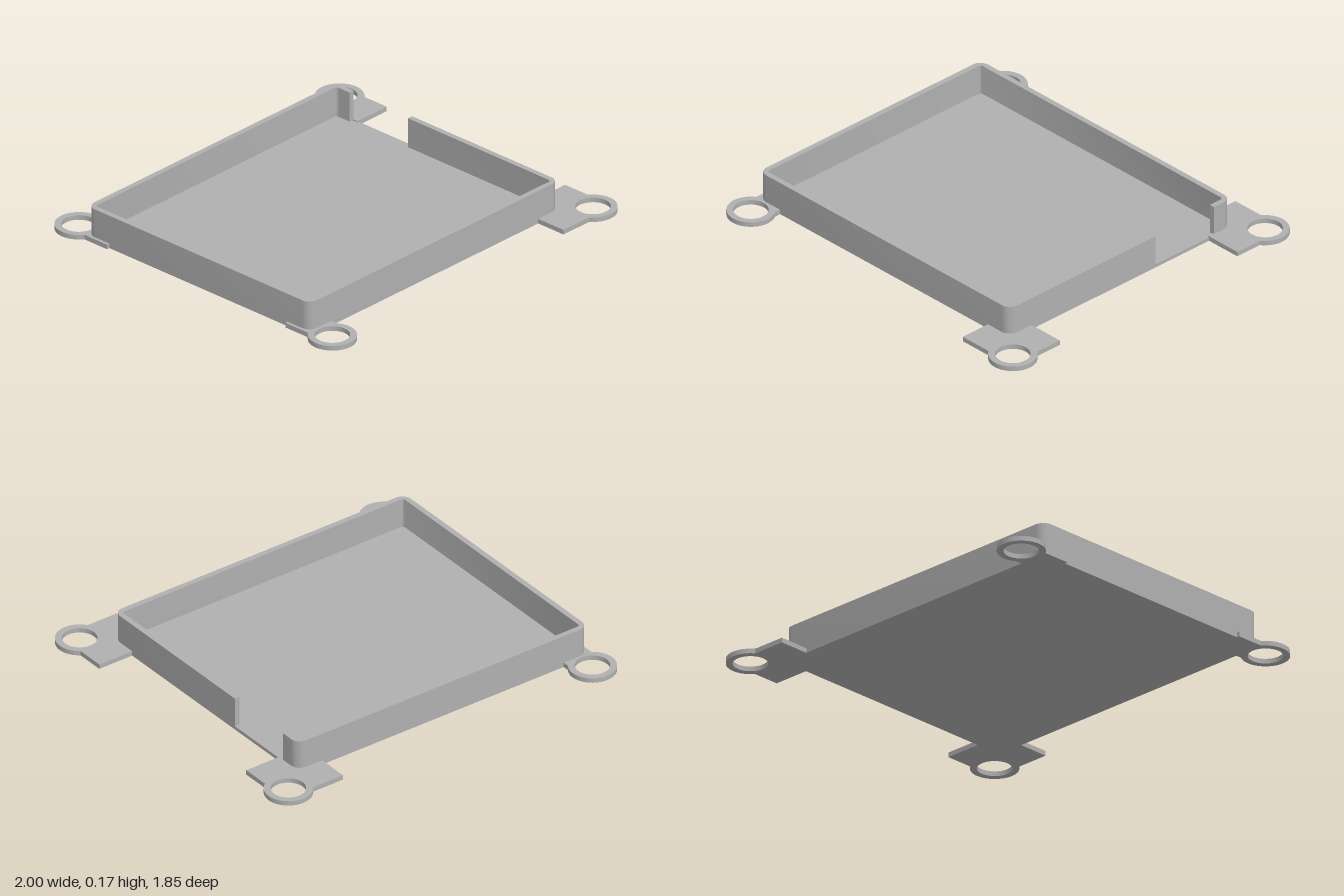
import * as THREE from 'three';
import { toCreasedNormals } from 'three/addons/utils/BufferGeometryUtils.js';

const X0 = -0.933, X1 = 0.758, Z = 0.713;   // tray footprint
const WALL = 0.028, FLOOR = 0.018, HEIGHT = 0.17, TAB = 0.024;
const GAP_BACK = -0.602, GAP_FRONT = -0.227; // opening in the left wall
const RING = { x: 0.884, z: 0.81, outer: 0.115, hole: 0.083 };

export function createModel() {
  const group = new THREE.Group();
  const grey = new THREE.MeshStandardMaterial({ color: 0xb0b0b0 });
  grey.name = 'grey plastic';

  // Extrude a plan outline (x, z) upwards between two heights
  const addPlate = (name, points, y0, y1, hole) => {
    const flip = (list) => list.map((p) => new THREE.Vector2(p.x, -p.y));
    const shape = new THREE.Shape(flip(points));
    if (hole) shape.holes.push(new THREE.Path(flip(hole)));
    let geometry = new THREE.ExtrudeGeometry(shape, { depth: y1 - y0, bevelEnabled: false });
    geometry.rotateX(-Math.PI / 2);
    geometry.translate(0, y0, 0);
    geometry = toCreasedNormals(geometry, 0.6);
    const mesh = new THREE.Mesh(geometry, grey);
    mesh.name = name;
    group.add(mesh);
  };

  const arc = (cx, cz, r, from, to, steps) => Array.from({ length: steps + 1 }, (_, i) => {
    const a = from + (to - from) * i / steps;
    return new THREE.Vector2(cx + r * Math.cos(a), cz + r * Math.sin(a));
  });

  // Four rounded corners, from front left round to back left
  const corners = (inset, r) => [[1, 1], [-1, 1], [-1, -1], [1, -1]].flatMap(([sx, sz], i) => arc(
    sx > 0 ? X1 - inset - r : X0 + inset + r, sz * (Z - inset - r),
    r, i * Math.PI / 2, (i + 1) * Math.PI / 2, 8));

  // Tray floor and the wall with its opening
  const v = (x, z) => new THREE.Vector2(x, z);
  addPlate('floor', corners(0, 0.05), 0, FLOOR);
  addPlate('wall', [
    v(X1, GAP_FRONT), ...corners(0, 0.05), v(X1, GAP_BACK),
    v(X1 - WALL, GAP_BACK), ...corners(WALL, 0.014).reverse(), v(X1 - WALL, GAP_FRONT),
  ], FLOOR, HEIGHT);

  // Mounting tabs with screw rings, outlined for one quadrant then mirrored
  const side = Math.atan2(-0.095, 0.065);
  const ringArc = (from) => arc(RING.x, RING.z, RING.outer, from, side, 40);
  const wideTab = [
    v(0.615, 0.7), v(0.615, 0.875), ...ringArc(Math.atan2(0.065, -0.095)),
    v(0.949, 0.57), v(0.75, 0.57), v(0.74, 0.695),
  ];
  const narrowTab = [
    v(0.789, 0.695), ...ringArc(Math.PI * 2 + Math.atan2(-0.065, -0.095)),
    v(0.949, 0.57), v(0.915, 0.57), v(0.915, 0.695),
  ];
  const hole = arc(RING.x, RING.z, RING.hole, 0, Math.PI * 2, 48).slice(0, -1);
  for (const sx of [-1, 1]) {
    for (const sz of [-1, 1]) {
      const mirror = (list) => list.map((p) => v(p.x * sx, p.y * sz));
      const name = (sz > 0 ? 'front' : 'back') + (sx > 0 ? 'Left' : 'Right') + 'Tab';
      addPlate(name, mirror(sx > 0 ? wideTab : narrowTab), 0, TAB, mirror(hole));
    }
  }
  return group;
}
